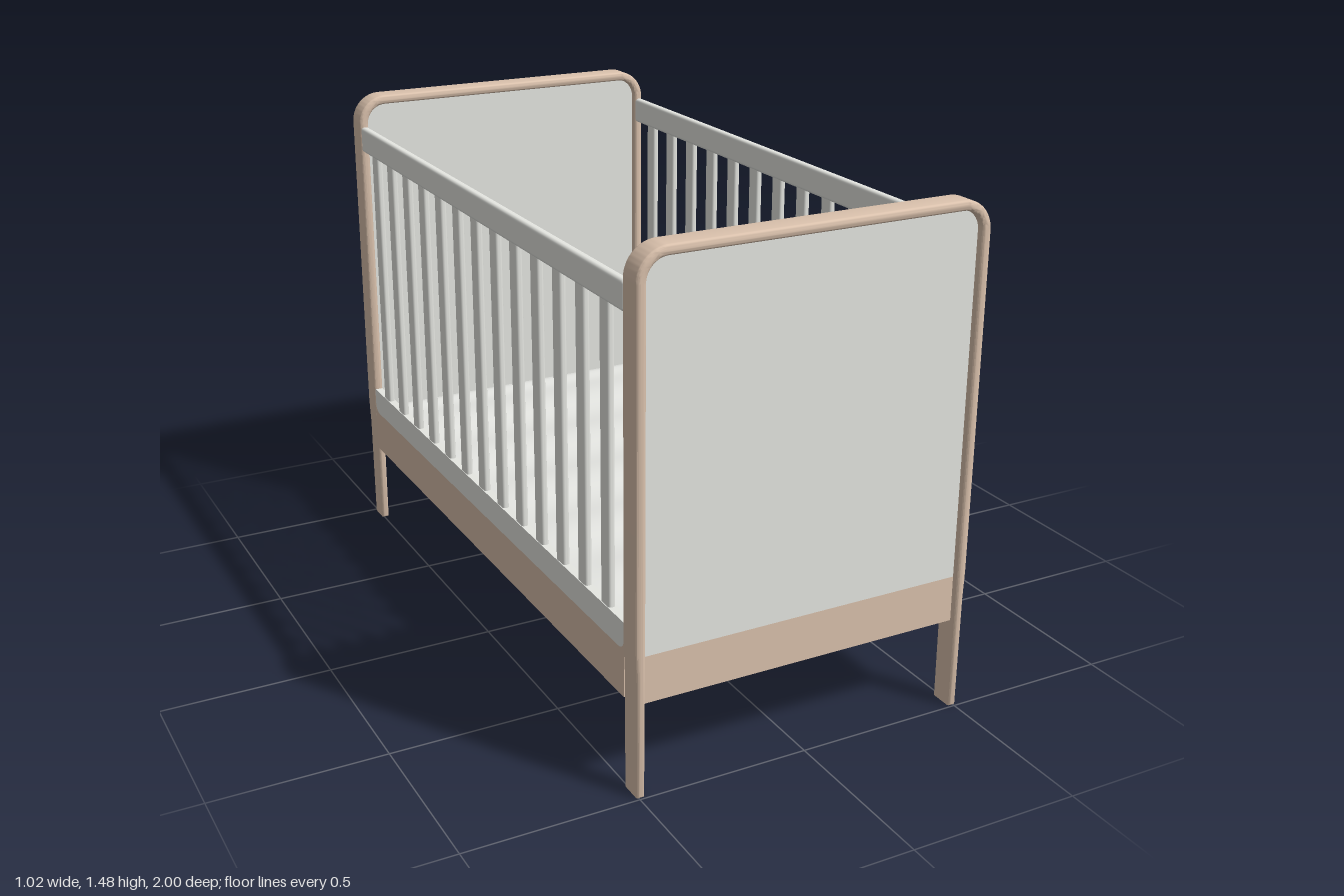
import * as THREE from 'three';
import { toCreasedNormals } from 'three/addons/utils/BufferGeometryUtils.js';
import { RoundedBoxGeometry } from 'three/addons/geometries/RoundedBoxGeometry.js';

const wood = new THREE.MeshStandardMaterial({ color: 0xdbc2ad });
wood.name = 'wood';
const paint = new THREE.MeshStandardMaterial({ color: 0xe7e8e3 });
paint.name = 'pale grey paint';
const fabric = new THREE.MeshStandardMaterial({ color: 0xf2f3ef });
fabric.name = 'mattress fabric';

function add(parent, name, geometry, material, x = 0, y = 0, z = 0) {
  const mesh = new THREE.Mesh(geometry, material);
  mesh.name = name;
  mesh.position.set(x, y, z);
  parent.add(mesh);
  return mesh;
}

// Flat shape given thickness, centred on its own plane
function slab(shape, depth) {
  const g = new THREE.ExtrudeGeometry(shape, { depth, bevelEnabled: false, curveSegments: 8 });
  return g.translate(0, 0, -depth / 2);
}

// Arched band with two slightly tapered legs, swept along z with rounded edges
function archGeometry() {
  const W = 0.51, H = 1.475, R = 0.088, t = 0.028, r = R - t;
  const s = new THREE.Shape();
  s.moveTo(-W + 0.004, 0);
  s.lineTo(-W + 0.003, 0.34);
  s.lineTo(-W, 0.42);
  s.lineTo(-W, H - R);
  s.absarc(-W + R, H - R, R, Math.PI, Math.PI / 2, true);
  s.absarc(W - R, H - R, R, Math.PI / 2, 0, true);
  s.lineTo(W, 0.42);
  s.lineTo(W - 0.003, 0.34);
  s.lineTo(W - 0.004, 0);
  s.lineTo(W - t + 0.002, 0);
  s.lineTo(W - t, 0.42);
  s.lineTo(W - t, H - R);
  s.absarc(W - R, H - R, r, 0, Math.PI / 2, false);
  s.absarc(-W + R, H - R, r, Math.PI / 2, Math.PI, false);
  s.lineTo(-W + t, 0.42);
  s.lineTo(-W + t - 0.002, 0);
  s.closePath();
  const b = 0.01;
  const g = new THREE.ExtrudeGeometry(s, {
    depth: 0.078 - 2 * b, bevelEnabled: true, bevelSize: b, bevelThickness: b,
    bevelOffset: -b, bevelSegments: 4, curveSegments: 10,
  });
  g.translate(0, 0, -0.039 + b);
  return toCreasedNormals(g, 0.7);
}

// End panel whose upper corners follow the arch
function panelGeometry() {
  const w = 0.487, top = 1.452, r = 0.065, bottom = 0.4;
  const s = new THREE.Shape();
  s.moveTo(-w, bottom);
  s.lineTo(w, bottom);
  s.lineTo(w, top - r);
  s.absarc(w - r, top - r, r, 0, Math.PI / 2, false);
  s.absarc(-w + r, top - r, r, Math.PI / 2, Math.PI, false);
  s.closePath();
  return slab(s, 0.034);
}

// Side board sweeping up at both ends, and the rail whose rounded corners sit in it
function sideGeometries() {
  const L = 0.925, low = 0.265, seam = 0.4, top = 0.48, r = 0.035;
  const board = new THREE.Shape();
  board.moveTo(-L, low);
  board.lineTo(L, low);
  board.lineTo(L, seam + r);
  board.quadraticCurveTo(L, seam, L - r, seam);
  board.lineTo(-L + r, seam);
  board.quadraticCurveTo(-L, seam, -L, seam + r);
  board.closePath();
  const rail = new THREE.Shape();
  rail.moveTo(-L + r, seam);
  rail.lineTo(L - r, seam);
  rail.quadraticCurveTo(L, seam, L, seam + r);
  rail.lineTo(L, top);
  rail.lineTo(-L, top);
  rail.lineTo(-L, seam + r);
  rail.quadraticCurveTo(-L, seam, -L + r, seam);
  return [board, rail].map((s) => slab(s, 0.024).rotateY(Math.PI / 2));
}

// Soft slab with shallow ripples along its length, rounded rims and corners
function mattressGeometry(w, h, l) {
  const g = new THREE.BoxGeometry(w, h, l, 48, 2, 96);
  const p = g.attributes.position;
  const cr = 0.06;
  for (let i = 0; i < p.count; i++) {
    const x = p.getX(i), y = p.getY(i), z = p.getZ(i);
    const ex = w / 2 - Math.abs(x), ez = l / 2 - Math.abs(z);
    if (Math.abs(y) > h / 2 - 1e-4) {
      const edge = Math.min(1, Math.min(ex, ez) / 0.03);
      const drop = 0.01 * (1 - edge) ** 2;
      const fade = THREE.MathUtils.smoothstep(ex, 0.03, 0.14) * THREE.MathUtils.smoothstep(ez, 0.02, 0.1);
      const ripple = y > 0 ? 0.005 * fade * Math.cos((z + 0.07) * Math.PI * 2 / 0.315) : 0;
      p.setY(i, y - Math.sign(y) * drop + ripple);
    }
    // pull corner vertices onto an arc
    const dx = cr - ex, dz = cr - ez;
    if (dx > 0 && dz > 0) {
      const k = Math.max(dx, dz) / Math.hypot(dx, dz);
      p.setX(i, Math.sign(x) * (w / 2 - cr + dx * k));
      p.setZ(i, Math.sign(z) * (l / 2 - cr + dz * k));
    }
  }
  g.computeVertexNormals();
  return g;
}

export function createModel() {
  const cot = new THREE.Group();
  cot.name = 'cot';

  // Head and foot ends
  const arch = archGeometry();
  const panel = panelGeometry();
  for (const s of [1, -1]) {
    const end = new THREE.Group();
    end.name = s > 0 ? 'frontEnd' : 'backEnd';
    end.position.z = s * 0.96;
    add(end, 'archFrame', arch, wood);
    add(end, 'endPanel', panel, paint);
    add(end, 'endBoard', new THREE.BoxGeometry(0.974, 0.135, 0.034), wood, 0, 0.3325, 0);
    cot.add(end);
  }

  // Barred sides
  const bar = new RoundedBoxGeometry(0.02, 0.85, 0.05, 3, 0.008);
  const [board, lowerRail] = sideGeometries();
  for (const s of [1, -1]) {
    const side = new THREE.Group();
    side.name = s > 0 ? 'leftSide' : 'rightSide';
    side.position.x = s * 0.496;
    add(side, 'sideBoard', board, wood);
    add(side, 'lowerRail', lowerRail, paint);
    add(side, 'topRail', new RoundedBoxGeometry(0.026, 0.08, 1.85, 4, 0.01), paint, 0, 1.34, 0);
    for (let i = -6; i <= 6; i++) add(side, 'bar', bar, paint, 0, 0.89, i * 0.1357);
    cot.add(side);
  }

  // Mattress and the corner blocks beside its rounded corners
  add(cot, 'mattress', mattressGeometry(0.964, 0.095, 1.85), fabric, 0, 0.3725, 0);
  for (const sx of [1, -1]) for (const sz of [1, -1]) {
    add(cot, 'cornerBlock', new THREE.BoxGeometry(0.036, 0.08, 0.04), wood, sx * 0.467, 0.375, sz * 0.907);
  }
  return cot;
}
